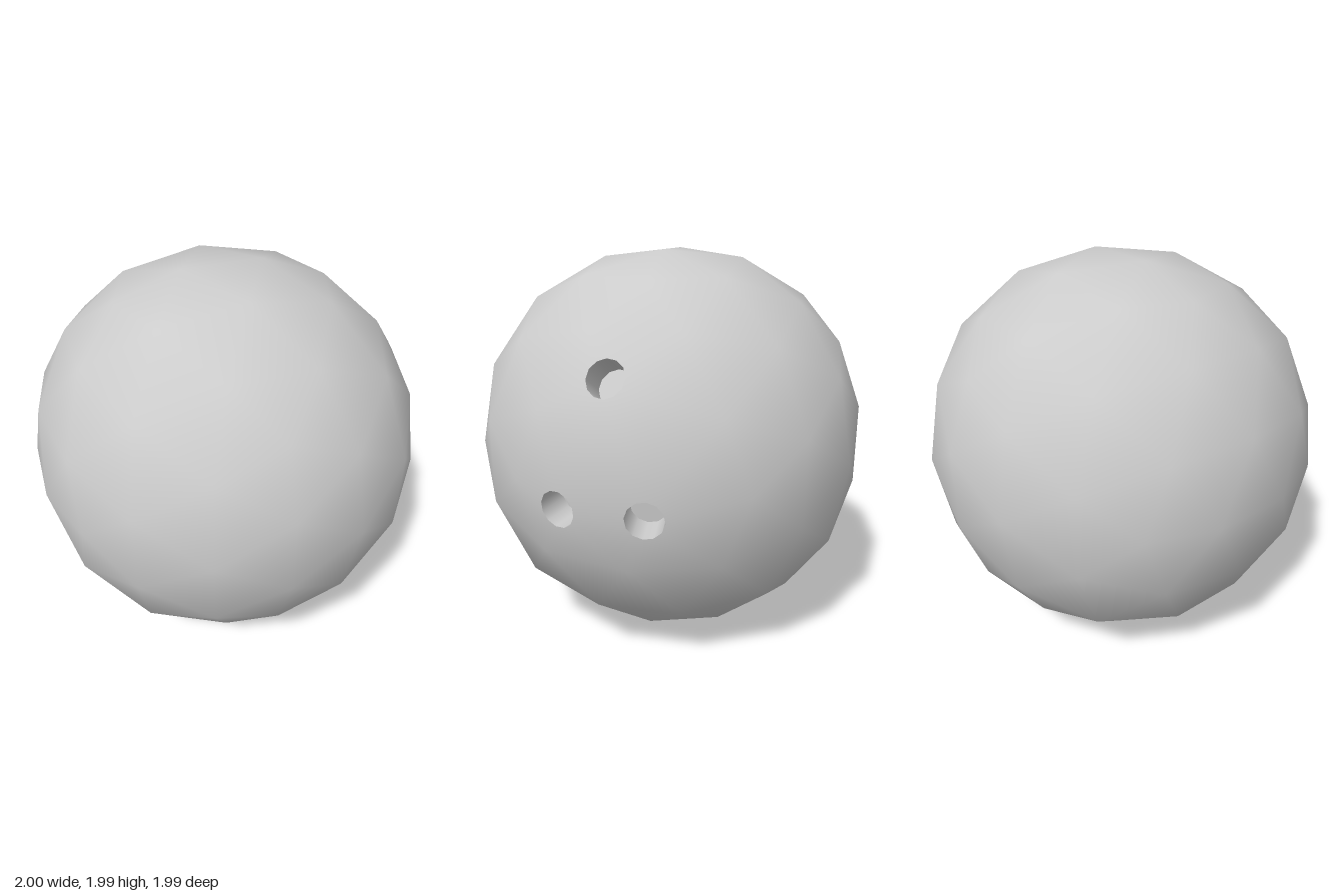
import * as THREE from 'three';
import { mergeVertices } from 'three/addons/utils/BufferGeometryUtils.js';
import { ConvexGeometry } from 'three/addons/geometries/ConvexGeometry.js';

const UP = new THREE.Vector3(0, 1, 0);
const SIDES = 12;      // sides of each finger hole
const HOLE_R = 0.09;
const HOLE_DEPTH = 0.15;
const RADIUS = 1.012;
const CENTRE_Y = 0.993;

// Distance of the surface along a direction: a ball slightly flatter at its axes
function surfaceRadius(d) {
  const sum = [d.x, d.y, d.z].reduce((s, c) => s + Math.abs(c) ** 2.1, 0);
  return RADIUS / sum ** (1 / 2.1);
}

// Holes on the +x side: direction from the centre, and distance of the rim's plane
const HOLES = [
  ['thumbHole', 0.885, 0.49, 0.095],
  ['frontFingerHole', 0.955, -0.09, 0.31],
  ['backFingerHole', 0.99, -0.09, -0.095],
].map(([name, x, y, z]) => {
  const dir = new THREE.Vector3(x, y, z).normalize();
  const turn = new THREE.Quaternion().setFromUnitVectors(UP, dir);
  return { name, dir, turn, rim: surfaceRadius(dir) - 0.008 };
});

// Faceted ball with the rims joined into it and left open
function shellGeometry() {
  const ico = new THREE.IcosahedronGeometry(1, 2);
  ico.deleteAttribute('normal');
  ico.deleteAttribute('uv');
  const pos = mergeVertices(ico, 1e-3).attributes.position;

  // Surface points clear of the holes
  const points = [];
  for (let i = 0; i < pos.count; i++) {
    const p = new THREE.Vector3().fromBufferAttribute(pos, i);
    if (HOLES.every(({ dir }) => p.angleTo(dir) > 0.19)) points.push(p.multiplyScalar(surfaceRadius(p)));
  }
  // Rim points of each hole
  for (const { turn, rim } of HOLES) {
    for (let i = 0; i < SIDES; i++) {
      const a = (i / SIDES) * Math.PI * 2;
      points.push(new THREE.Vector3(HOLE_R * Math.sin(a), rim, HOLE_R * Math.cos(a)).applyQuaternion(turn));
    }
  }

  // Wrap the points, then leave out the faces that would cover a hole
  const hull = new ConvexGeometry(points).attributes.position;
  const kept = [];
  const normals = [];
  for (let i = 0; i < hull.count; i += 3) {
    const tri = [0, 1, 2].map((k) => new THREE.Vector3().fromBufferAttribute(hull, i + k));
    const coversHole = HOLES.some(({ dir, rim }) =>
      tri.every((v) => Math.abs(v.dot(dir) - rim) < 1e-4 && v.angleTo(dir) < 0.1));
    if (coversHole) continue;
    for (const v of tri) {
      kept.push(...v.toArray());
      normals.push(...v.normalize().toArray());
    }
  }
  const geo = new THREE.BufferGeometry();
  geo.setAttribute('position', new THREE.Float32BufferAttribute(kept, 3));
  geo.setAttribute('normal', new THREE.Float32BufferAttribute(normals, 3));
  return geo;
}

export function createModel() {
  const model = new THREE.Group();
  model.name = 'bowlingBall';
  const material = new THREE.MeshStandardMaterial({ color: 0xcccccc });
  const holeMaterial = new THREE.MeshStandardMaterial({ color: 0xcccccc, side: THREE.DoubleSide });

  const shell = new THREE.Mesh(shellGeometry(), material);
  shell.name = 'shell';
  shell.position.y = CENTRE_Y;
  model.add(shell);

  // Each hole: a short wall and a flat floor, pointing to the ball's centre
  for (const { name, turn, rim } of HOLES) {
    const hole = new THREE.Group();
    hole.name = name;
    const wall = new THREE.Mesh(
      new THREE.CylinderGeometry(HOLE_R, HOLE_R, HOLE_DEPTH, SIDES, 1, true), holeMaterial);
    wall.name = name + 'Wall';
    wall.position.y = rim - HOLE_DEPTH / 2;
    const floor = new THREE.Mesh(new THREE.CircleGeometry(HOLE_R, SIDES), holeMaterial);
    floor.name = name + 'Floor';
    floor.rotation.x = -Math.PI / 2;
    floor.position.y = rim - HOLE_DEPTH;
    hole.add(wall, floor);
    hole.quaternion.copy(turn);
    hole.position.y = CENTRE_Y;
    model.add(hole);
  }
  return model;
}
